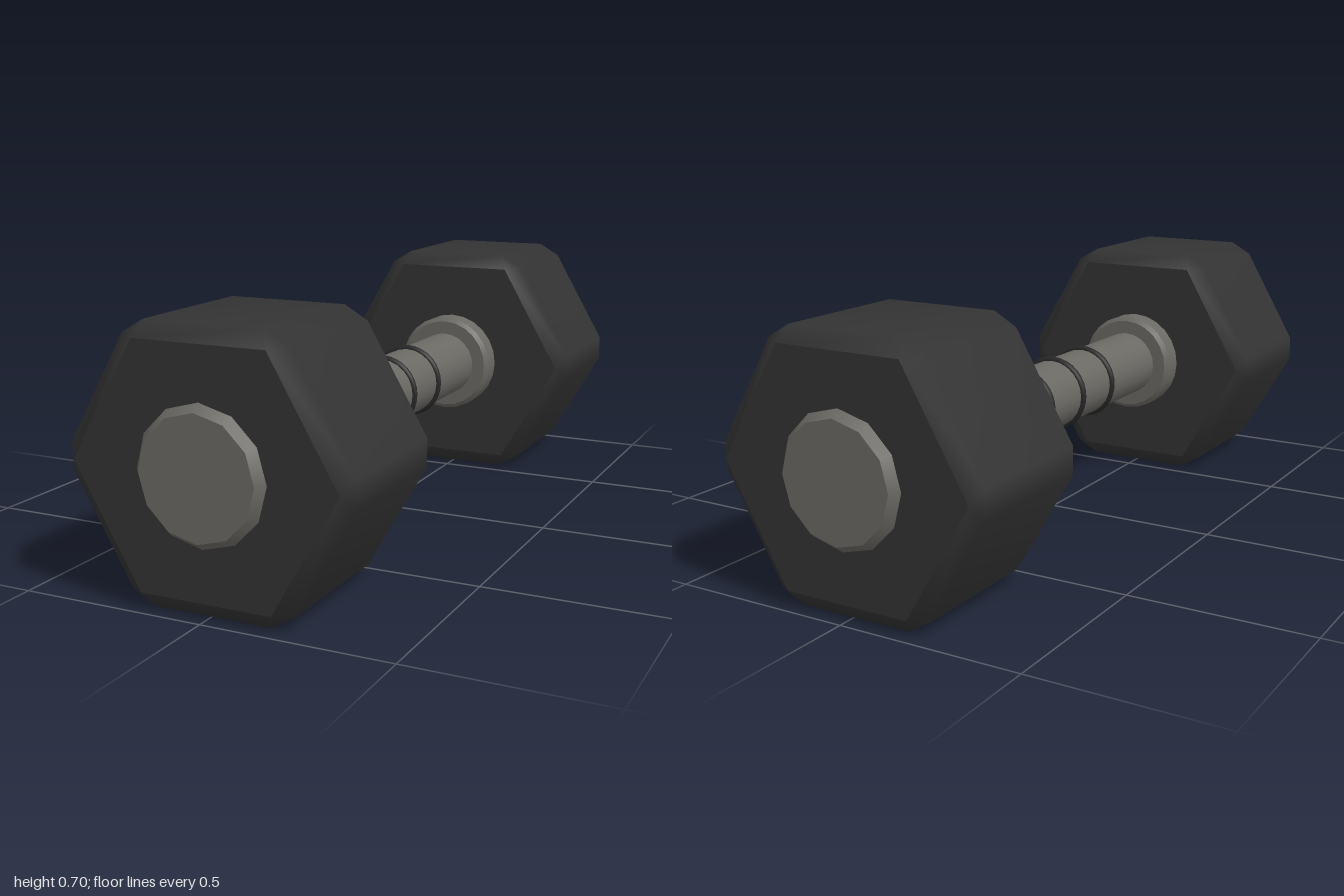
import * as THREE from 'three';
import { mergeGeometries } from 'three/addons/utils/BufferGeometryUtils.js';

const AXIS_Y = 0.35;
const HALF = 0.222;   // half depth of a head
const BEVEL = 0.03;   // depth of the bevel round each head face
const FACE_R = 0.355; // corner radius of the flat hexagon face

// Hexagonal block with cut corners: smooth shell plus two crisp flat faces
function headGeometry() {
  const pos = [], index = [];
  for (let k = 0; k < 6; k++) {
    const t = k * Math.PI / 3, c = Math.cos(t), s = Math.sin(t);
    const add = (x, y, z) => pos.push(x * c - y * s, x * s + y * c, z);
    for (const side of [-1, 1]) {
      add(FACE_R, 0, side * HALF);
      add(0.382, -0.036, side * (HALF - BEVEL));
      add(0.382, 0.036, side * (HALF - BEVEL));
    }
    // per corner: face point, first cut, second cut, at back then front
    const [h0, a0, b0, h1, a1, b1] = [0, 1, 2, 3, 4, 5].map(i => k * 6 + i);
    const [nh0, na0, , nh1, na1] = [0, 1, 2, 3, 4].map(i => ((k + 1) % 6) * 6 + i);
    const quad = (a, b, c2, d) => index.push(a, b, c2, a, c2, d);
    quad(a0, b0, b1, a1);             // cut corner
    quad(b0, na0, na1, b1);           // side
    index.push(a1, b1, h1, b0, a0, h0); // corner bevels
    quad(b1, na1, nh1, h1);           // front bevel
    quad(na0, b0, h0, nh0);           // back bevel
  }
  const shell = new THREE.BufferGeometry();
  shell.setAttribute('position', new THREE.Float32BufferAttribute(pos, 3));
  shell.setIndex(index);
  shell.computeVertexNormals();
  const front = new THREE.CircleGeometry(FACE_R, 6).translate(0, 0, HALF);
  const back = front.clone().rotateY(Math.PI);
  front.deleteAttribute('uv');
  back.deleteAttribute('uv');
  return mergeGeometries([shell, front, back]);
}

// Cylinder along z from z0 to z1, with a radius for each end
function rod(r0, r1, z0, z1, sides) {
  return new THREE.CylinderGeometry(r1, r0, z1 - z0, sides)
    .rotateX(Math.PI / 2).translate(0, 0, (z0 + z1) / 2);
}

export function createModel() {
  const rubber = new THREE.MeshStandardMaterial({ name: 'black rubber', color: 0x333333 });
  const steel = new THREE.MeshStandardMaterial({ name: 'grey steel', color: 0x6b6964 });
  const grip = new THREE.MeshStandardMaterial({ name: 'dark grip', color: 0x282828 });

  const model = new THREE.Group();
  model.name = 'dumbbell';
  const part = (name, geometry, material, parent) => {
    const mesh = new THREE.Mesh(geometry, material);
    mesh.name = name;
    parent.add(mesh);
    return mesh;
  };

  const body = new THREE.Group();
  body.name = 'body';
  body.position.y = AXIS_Y;
  model.add(body);

  // Handle with three grip rings
  part('handle', rod(0.098, 0.098, -0.54, 0.54, 24), steel, body);
  for (const z of [-0.178, 0, 0.178]) {
    part('gripRing', new THREE.TorusGeometry(0.099, 0.01, 8, 32), grip, body).position.z = z;
  }

  // Weighted ends, the back one turned half round
  const head = headGeometry();
  const cap = rod(0.178, 0.155, 0.972, 1, 12);
  const collar = rod(0.15, 0.15, 0.478, 0.54, 24);
  const collarLip = rod(0.138, 0.15, 0.466, 0.478, 24);
  for (const [name, turn] of [['frontWeight', 0], ['backWeight', Math.PI]]) {
    const weight = new THREE.Group();
    weight.name = name;
    weight.rotation.y = turn;
    body.add(weight);
    part('head', head, rubber, weight).position.z = 0.755;
    part('endCap', cap, steel, weight);
    part('collar', collar, steel, weight);
    part('collarLip', collarLip, steel, weight);
  }
  return model;
}
